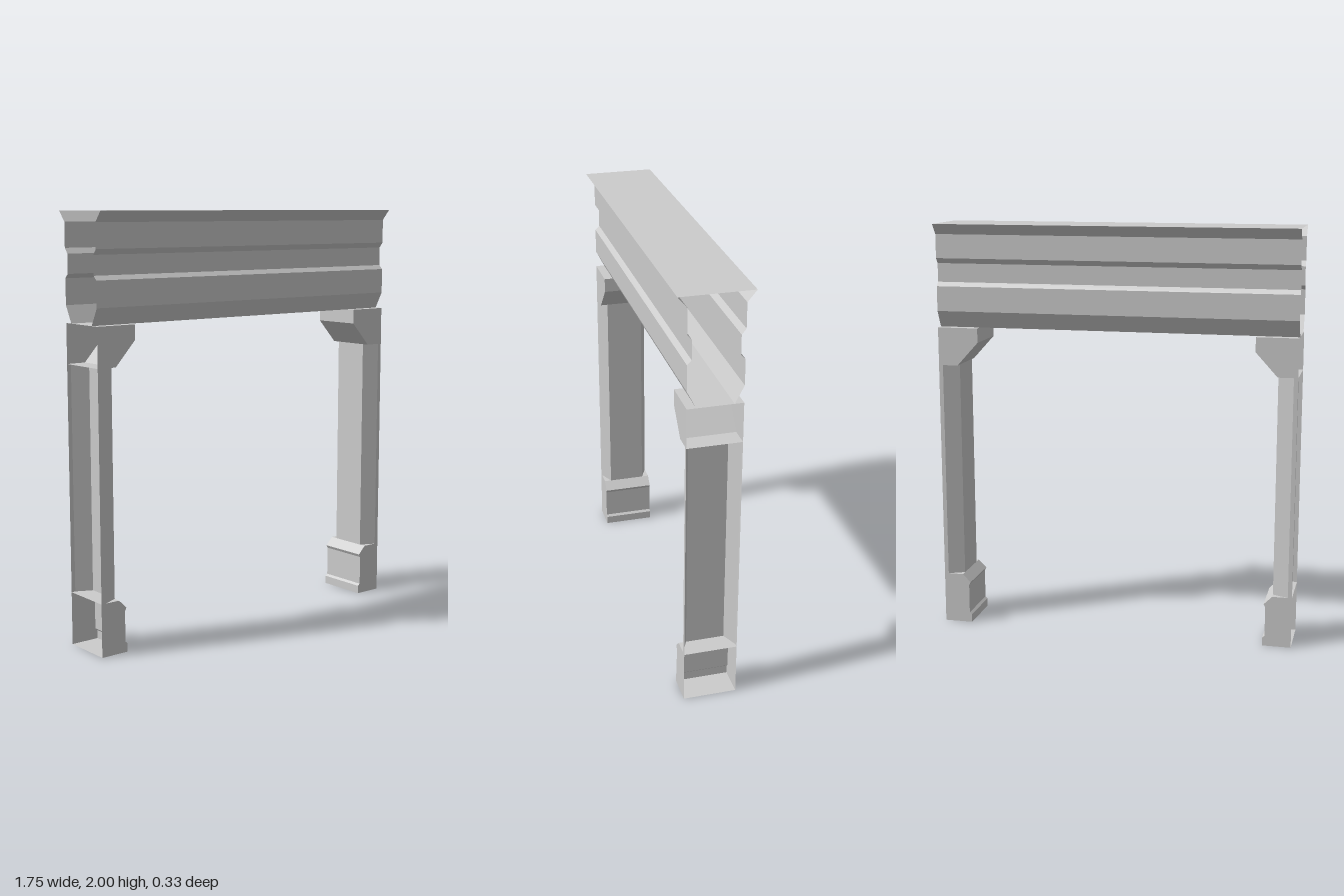
import * as THREE from 'three';

const material = new THREE.MeshStandardMaterial({
  color: 0xcccccc, flatShading: true, side: THREE.DoubleSide,
});

const END = 0.875;   // outer ends of the arch
const DEPTH = 0.125; // half depth of the legs

// Open shell: sweeps a polyline between two offsets, place(p, q, offset) -> [x, y, z]
function strip(points, from, to, place) {
  const positions = [];
  for (let i = 0; i < points.length - 1; i++) {
    const a = place(...points[i], from), b = place(...points[i + 1], from);
    const c = place(...points[i + 1], to), d = place(...points[i], to);
    positions.push(...a, ...b, ...c, ...a, ...c, ...d);
  }
  const geometry = new THREE.BufferGeometry();
  geometry.setAttribute('position', new THREE.Float32BufferAttribute(positions, 3));
  geometry.computeVertexNormals();
  return geometry;
}

function part(name, geometry) {
  const mesh = new THREE.Mesh(geometry, material);
  mesh.name = name;
  return mesh;
}

// Block with front and back faces, swept along z, open towards the outer end
function block(name, profile) {
  const group = new THREE.Group();
  group.name = name;
  group.add(part(name + 'Sides', strip(profile, -DEPTH, DEPTH, (x, y, z) => [x, y, z])));
  const face = (sign) => new THREE.ShapeGeometry(
    new THREE.Shape(profile.map(([x, y]) => new THREE.Vector2(sign * x, y))));
  group.add(part(name + 'Front', face(1).translate(0, 0, DEPTH)));
  group.add(part(name + 'Back', face(-1).translate(0, 0, DEPTH).rotateY(Math.PI)));
  return group;
}

function createLeg(name) {
  const leg = new THREE.Group();
  leg.name = name;

  // Plinth with a small foot moulding and a chamfered top, open underneath
  leg.add(block('plinth', [
    [END, 0.25], [0.78, 0.25], [0.74, 0.21], [0.748, 0.195],
    [0.748, 0.05], [0.737, 0.04], [0.737, 0], [END, 0],
  ]));

  // Post with bevelled inner corners
  const section = [
    [END, -DEPTH], [0.855, -DEPTH], [0.78, -0.09],
    [0.78, 0.09], [0.855, DEPTH], [END, DEPTH],
  ];
  leg.add(part('post', strip(section, 0.25, 1.315, (x, z, y) => [x, y, z])));

  // Bracket carrying the beam
  leg.add(block('bracket', [
    [END, 1.5], [0.675, 1.5], [0.675, 1.43], [0.78, 1.315], [END, 1.315],
  ]));
  return leg;
}

export function createModel() {
  const model = new THREE.Group();
  model.name = 'doorArch';

  // Moulded lintel: front profile from top to bottom, mirrored for the back
  const front = [
    [0.167, 2], [0.125, 1.95], [0.125, 1.835], [0.105, 1.81],
    [0.105, 1.72], [0.125, 1.7], [0.125, 1.58], [0.083, 1.5],
  ];
  const back = front.map(([z, y]) => [-z, y]).reverse();
  model.add(part('lintel',
    strip([...front, ...back, front[0]], -END, END, (z, y, x) => [x, y, z])));

  // Two identical legs, the second turned half round
  const right = createLeg('rightLeg');
  right.rotation.y = Math.PI;
  model.add(createLeg('leftLeg'), right);
  return model;
}
